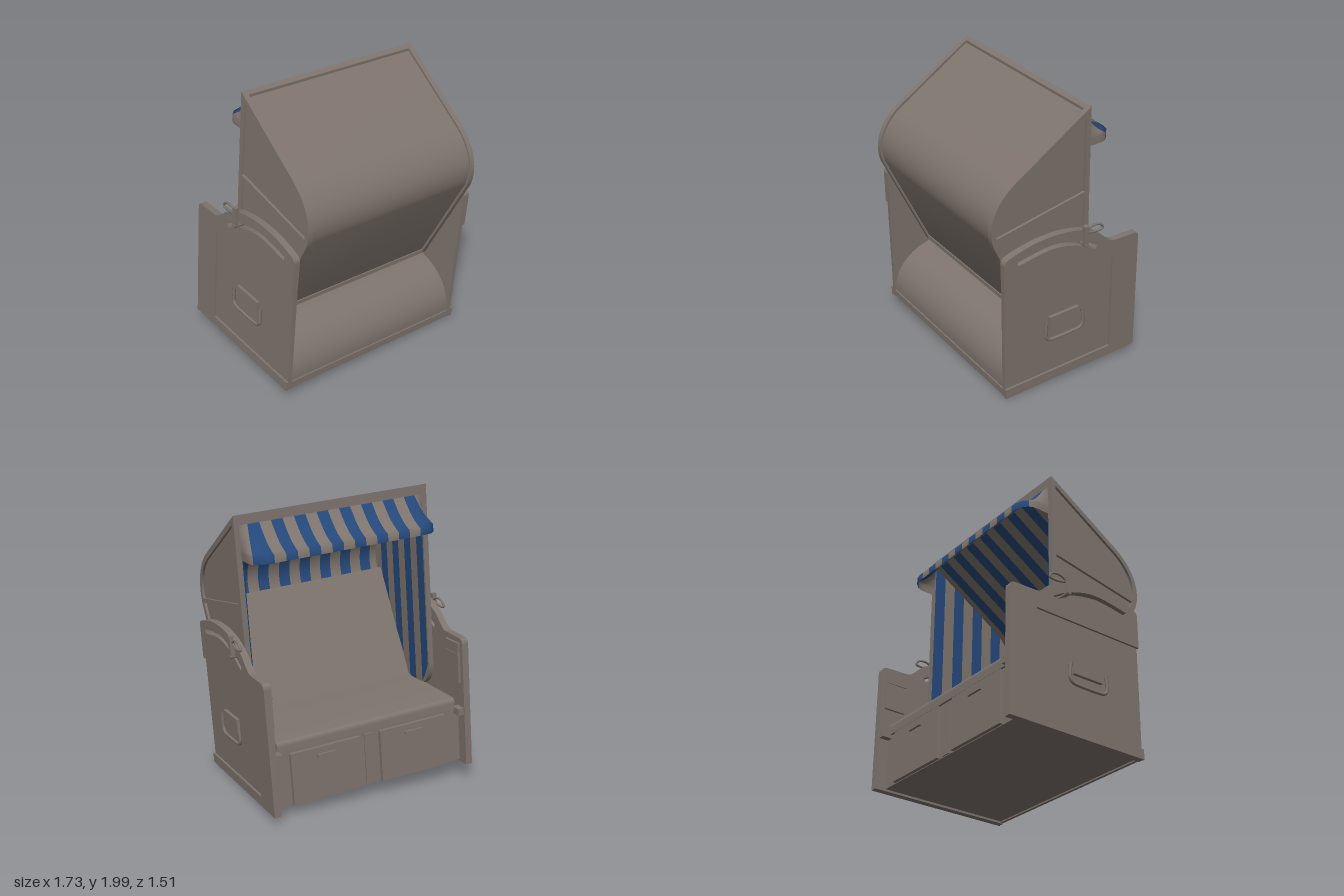
import * as THREE from 'three';
import { toCreasedNormals } from 'three/addons/utils/BufferGeometryUtils.js';

const V2 = (p) => new THREE.Vector2(p[0], p[1]);
const V3 = (x, y, z) => new THREE.Vector3(x, y, z);

export function createModel() {
  const grey = new THREE.MeshStandardMaterial({ color: 0x7e746d, side: THREE.DoubleSide });
  grey.name = 'warm grey';
  const blue = new THREE.MeshStandardMaterial({ color: 0x25487a, side: THREE.DoubleSide });
  blue.name = 'stripe blue';
  const chair = new THREE.Group();
  chair.name = 'beachChair';

  const add = (name, geo, mat = grey) => {
    const m = new THREE.Mesh(geo, mat);
    m.name = name;
    chair.add(m);
    return m;
  };
  const box = (name, w, h, d, x, y, z) => {
    const m = add(name, new THREE.BoxGeometry(w, h, d));
    m.position.set(x, y, z);
    return m;
  };
  // extrude a (z, y) profile across x from x0 to x1
  const slab = (name, shape, x0, x1) => {
    const g = new THREE.ExtrudeGeometry(shape, { depth: x1 - x0, bevelEnabled: false, curveSegments: 14 });
    g.rotateY(-Math.PI / 2);
    g.translate(x1, 0, 0);
    return add(name, toCreasedNormals(g, 0.5));
  };
  // same slab on side s, given distances from the middle
  const sideSlab = (name, shape, s, a, b) => slab(name, shape, s > 0 ? a : -b, s > 0 ? b : -a);
  const poly = (pts) => new THREE.Shape(pts.map(V2));

  // cloth made of stripes: bands between the given edges, alternating colours
  const cloth = (name, edges, nv, point, firstBlue) => {
    const sub = 4, pos = [], idx = [], us = [];
    edges.forEach((e, i) => {
      if (i === edges.length - 1) return us.push(e);
      for (let k = 0; k < sub; k++) us.push(e + (edges[i + 1] - e) * k / sub);
    });
    const g = new THREE.BufferGeometry();
    us.forEach((u) => { for (let j = 0; j <= nv; j++) pos.push(...point(u, j / nv, j)); });
    for (let i = 0; i < us.length - 1; i++) {
      for (let j = 0; j < nv; j++) {
        const a = i * (nv + 1) + j, b = a + nv + 1;
        idx.push(a, a + 1, b, b, a + 1, b + 1);
      }
    }
    g.setAttribute('position', new THREE.Float32BufferAttribute(pos, 3));
    g.setIndex(idx);
    const n = sub * nv * 6;
    for (let i = 0; i < edges.length - 1; i++) g.addGroup(i * n, n, (i + (firstBlue ? 1 : 0)) % 2);
    g.computeVertexNormals();
    return add(name, g, [grey, blue]);
  };

  // ---- hood profile (z, y), inset by d
  const hoodCurve = (d) => {
    const p = [V2([-0.15, 1.895 - 1.2 * d]), V2([0.42 - 0.54 * d, 1.535 - 0.84 * d])];
    const bend = new THREE.CubicBezierCurve(p[1], V2([0.56 - 0.7 * d, 1.44 - 0.7 * d]),
      V2([0.62 - d, 1.29]), V2([0.575 - 0.91 * d, 1.15 + 0.41 * d]));
    return [p[0], ...bend.getPoints(14)];
  };
  const hoodFoot = (d) => V2([0.24 - 0.91 * d, 0.41 + 0.41 * d]);
  const hoodOutline = () => {
    const s = new THREE.Shape([...hoodCurve(0), hoodFoot(0)]);
    s.lineTo(0.02, 0.44);
    s.quadraticCurveTo(-0.15, 0.47, -0.15, 0.65);
    s.closePath();
    return s;
  };
  const rim = hoodOutline();
  const upper = hoodCurve(0.035);
  upper[0] = V2([-0.115, 1.83]);
  upper[upper.length - 1] = V2([0.549, 1.2]);
  rim.holes.push(new THREE.Path([...upper, V2([-0.115, 1.315])]));
  rim.holes.push(poly([[-0.115, 1.285], [0.54, 1.17], [0.23, 0.48], [0.04, 0.48], [-0.115, 0.64]]));
  const shell = new THREE.Shape([...hoodCurve(0.016), hoodFoot(0.016), hoodFoot(0.04), ...hoodCurve(0.04).reverse()]);
  slab('hoodShell', shell, -0.66, 0.66);
  slab('backrest', poly([[0.21, 0.43], [0.54, 1.16], [0.47, 1.2], [0.11, 0.43]]), -0.65, 0.65);
  slab('hoodTopRail', poly([[-0.15, 1.895], [-0.12, 1.876], [-0.12, 1.83], [-0.15, 1.83]]), -0.69, 0.69);
  box('hoodFootRail', 1.34, 0.03, 0.03, 0, 0.43, 0.232);

  // ---- striped linings
  const xEdges = [-0.655];
  for (let i = 0; i < 16; i++) xEdges.push(-0.6 + i * 0.08);
  xEdges.push(0.655);
  const ceiling = hoodCurve(0.05);
  cloth('ceilingLining', xEdges, ceiling.length - 1, (u, v, j) => [u, ceiling[j].y, ceiling[j].x], false);
  const zEdges = Array.from({ length: 9 }, (_, i) => -0.148 + i * 0.085);
  const liningTop = (z) => 1.84 - 0.64 * (z + 0.15);
  const liningBottom = (z) => z > 0.1 ? 0.47 + (z - 0.1) * 1.78 : 0.47 + 0.17 * Math.max(0, (-0.02 - z) / 0.13) ** 2;

  // ---- awning, swept from the hood's top rail to a rounded front rim
  cloth('awning', xEdges, 7, (u, v, j) => {
    const s = Math.sign(u), t = Math.max(0, (Math.abs(u) - 0.56) / 0.095);
    let rx = u, rz = -0.35;
    if (t > 0) {
      const a = Math.min(1, t / 0.65) * Math.PI / 2;
      rx = s * (0.56 + 0.1 * Math.sin(a));
      rz = -0.25 - 0.1 * Math.cos(a) + 0.1 * Math.max(0, (t - 0.65) / 0.35);
    }
    const w = Math.min(1, j / 6);
    const sag = 0.025 * Math.sin(Math.PI * w);
    return [u + (rx - u) * w, 1.83 - 0.175 * w - sag - (j === 7 ? 0.05 : 0), -0.15 + (rz + 0.15) * w];
  }, false);

  // ---- base with rounded back, seat and drawers
  const base = new THREE.Shape();
  base.moveTo(-0.45, 0.015);
  base.lineTo(0.515, 0.015);
  base.lineTo(0.515, 0.09);
  base.bezierCurveTo(0.5, 0.27, 0.34, 0.39, 0.12, 0.39);
  base.lineTo(-0.45, 0.39);
  base.closePath();
  slab('base', base, -0.695, 0.695);
  box('backSill', 1.39, 0.05, 0.02, 0, 0.03, 0.515);
  const seat = new THREE.Shape();
  seat.moveTo(0.16, 0.39);
  seat.lineTo(0.16, 0.475);
  seat.lineTo(-0.43, 0.475);
  seat.quadraticCurveTo(-0.465, 0.475, -0.465, 0.44);
  seat.lineTo(-0.465, 0.39);
  seat.closePath();
  slab('seat', seat, -0.66, 0.66);

  // ---- side panel outlines and the curved guide slot
  const panelTop = (s) => {
    s.lineTo(0.53, 1.02);
    s.quadraticCurveTo(0.53, 1.055, 0.49, 1.065);
    s.bezierCurveTo(0.3, 1.13, 0.08, 1.13, -0.1, 1.065);
    s.lineTo(-0.19, 1.015);
    s.bezierCurveTo(-0.25, 0.97, -0.28, 0.91, -0.33, 0.91);
    s.lineTo(-0.49, 0.905);
    s.quadraticCurveTo(-0.53, 0.905, -0.53, 0.865);
    s.lineTo(-0.53, 0);
    s.closePath();
    const mid = new THREE.SplineCurve([[0.43, 1.005], [0.17, 1.035], [-0.03, 0.99], [-0.18, 0.91]].map(V2));
    const ring = [0.015, -0.015].map((o) => Array.from({ length: 21 }, (_, i) => {
      const p = mid.getPoint(i / 20), t = mid.getTangent(i / 20);
      return V2([p.x - t.y * o, p.y + t.x * o]);
    }));
    s.holes.push(new THREE.Path([...ring[0], ...ring[1].reverse()]));
    return s;
  };
  const core = new THREE.Shape();
  core.moveTo(0.525, 0);
  core.lineTo(0.525, 0.8);
  panelTop(core);
  const frame = new THREE.Shape();
  [[0.53, 0], [0.53, 0.07], [-0.32, 0.07], [-0.32, 0.79], [0.53, 0.79]].forEach((p, i) => (i ? frame.lineTo(...p) : frame.moveTo(...p)));
  panelTop(frame);

  const tube = (name, pts, r, closed, tension) => add(name, new THREE.TubeGeometry(
    new THREE.CatmullRomCurve3(pts, closed, 'catmullrom', tension), 40, r, 8, closed));

  for (const s of [1, -1]) {
    sideSlab('hoodSide', hoodOutline(), s, 0.655, 0.675);
    sideSlab('hoodSideRim', rim, s, 0.655, 0.692);
    cloth('sideLining', zEdges, 6, (z, v) => [s * 0.648, liningBottom(z) + (Math.max(liningTop(z), liningBottom(z)) - liningBottom(z)) * v, z], true);
    sideSlab('sidePanel', core, s, 0.695, 0.727);
    sideSlab('sidePanelFrame', frame, s, 0.727, 0.742);

    // carrying handle
    box('handlePlate', 0.022, 0.1, 0.23, s * 0.745, 0.465, 0.075);
    tube('carryHandle', [[0.48, 0.22], [0.38, 0.225], [0.345, 0.195], [0.34, 0.075], [0.345, -0.045], [0.38, -0.075], [0.48, -0.07]]
      .map(([y, z]) => V3(s * 0.755, y, z)), 0.011, false, 0.3);

    // reclining clamp and its loop
    box('clampPost', 0.03, 0.14, 0.03, s * 0.757, 1.04, -0.08);
    const pin = add('clampPin', new THREE.CylinderGeometry(0.014, 0.014, 0.12, 12));
    pin.rotation.z = Math.PI / 2;
    pin.position.set(s * 0.715, 0.97, -0.08);
    tube('clampLoop', [[1.06, -0.09], [1.09, -0.14], [1.08, -0.2], [1.045, -0.22], [1.04, -0.16]]
      .map(([y, z]) => V3(s * 0.75, y, z)), 0.008, true, 0.5);

    // folding table, support block and arm ledge inside the panel
    box('foldingTable', 0.02, 0.28, 0.155, s * 0.688, 0.73, -0.42);
    box('tableHinge', 0.026, 0.015, 0.155, s * 0.686, 0.79, -0.42);
    box('supportBlock', 0.045, 0.05, 0.075, s * 0.675, 0.39, -0.485);

    // drawer with a slim pull
    box('drawer', 0.5, 0.36, 0.03, s * 0.325, 0.2, -0.46);
    box('drawerPull', 0.13, 0.022, 0.018, s * 0.325, 0.325, -0.482);
  }
  box('drawerDivider', 0.07, 0.36, 0.012, 0, 0.2, -0.453);

  // ---- turn and lean the whole chair
  const X = V3(0.966, -0.05, 0.25).normalize();
  const Y = V3(0.034, 0.998, 0.056);
  Y.addScaledVector(X, -X.dot(Y)).normalize();
  chair.quaternion.setFromRotationMatrix(new THREE.Matrix4().makeBasis(X, Y, X.clone().cross(Y)));
  chair.position.set(-0.016, 0.064, -0.06);
  const root = new THREE.Group();
  root.name = 'model';
  root.add(chair);
  return root;
}
